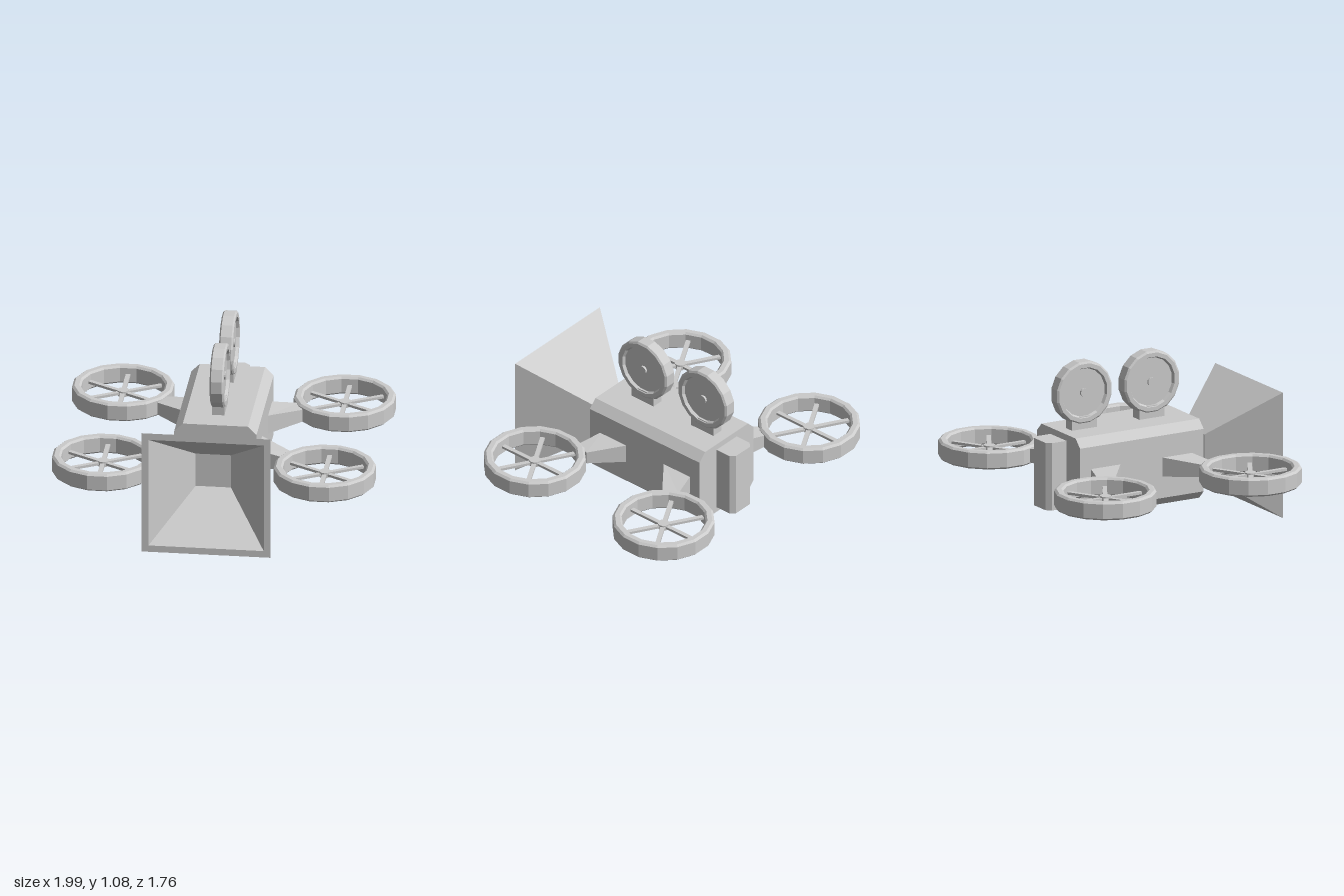
import * as THREE from 'three';

const material = new THREE.MeshStandardMaterial({ color: 0xcccccc, flatShading: true });
const MID_Y = 0.405;

function add(parent, name, geometry, x = 0, y = 0, z = 0) {
  const mesh = new THREE.Mesh(geometry, material);
  mesh.name = name;
  mesh.position.set(x, y, z);
  parent.add(mesh);
  return mesh;
}

// Faceted solid of revolution from [radius, height] pairs
function lathe(points, sides, phase = Math.PI / sides) {
  return new THREE.LatheGeometry(points.map(([r, h]) => new THREE.Vector2(r, h)), sides, phase);
}

// Straight prism from an outline in x and y, centred on depth
function prism(points, depth) {
  const shape = new THREE.Shape(points.map(([x, y]) => new THREE.Vector2(x, y)));
  return new THREE.ExtrudeGeometry(shape, { depth, bevelEnabled: false }).translate(0, 0, -depth / 2);
}

// Ducted propeller: bevelled ring, hub and six spokes
function createRotor() {
  const rotor = new THREE.Group();
  add(rotor, 'rotorRing', lathe([
    [0.272, -0.058], [0.302, -0.058], [0.316, -0.046], [0.316, 0.046],
    [0.302, 0.058], [0.272, 0.058], [0.26, 0.046], [0.26, -0.046], [0.272, -0.058],
  ], 16));
  add(rotor, 'rotorHub', new THREE.CylinderGeometry(0.036, 0.036, 0.035, 12));
  for (let i = 0; i < 6; i++) {
    const spoke = add(rotor, 'rotorSpoke', new THREE.BoxGeometry(0.028, 0.016, 0.265).translate(0, 0, 0.1325));
    spoke.rotation.y = (i * Math.PI) / 3;
  }
  return rotor;
}

// Arm narrowing from the body side towards its rotor ring
function armGeometry(sx, sz, zShift) {
  const geometry = new THREE.BoxGeometry(1, 1, 1);
  const p = geometry.attributes.position;
  for (let i = 0; i < p.count; i++) {
    const outer = p.getX(i) * sx > 0;
    const far = p.getZ(i) * sz > 0;
    const x = outer ? (far ? 0.415 : 0.45) : 0.24;
    const z = outer ? (far ? 0.408 : 0.308) : (far ? 0.36 : 0.14);
    p.setXYZ(i, sx * x, MID_Y + p.getY(i) * (outer ? 0.08 : 0.125), sz * z + zShift);
  }
  geometry.computeVertexNormals();
  return geometry;
}

// Film reel with a recess and a small hub on both sides
function createReel() {
  const reel = new THREE.Group();
  const geometry = lathe([
    [0, -0.024], [0.153, -0.024], [0.162, -0.043], [0.188, -0.043], [0.2, -0.034],
    [0.2, 0.034], [0.188, 0.043], [0.162, 0.043], [0.153, 0.024], [0, 0.024],
  ], 16).rotateZ(Math.PI / 2);
  add(reel, 'reelDisc', geometry);
  add(reel, 'reelHub', new THREE.CylinderGeometry(0.026, 0.026, 0.074, 12).rotateZ(Math.PI / 2));
  return reel;
}

export function createModel() {
  const model = new THREE.Group();
  model.name = 'cameraDrone';

  // Body with chamfered long edges
  const w = 0.255, h = 0.2525, c = 0.053;
  add(model, 'body', prism([
    [-w + c, -h], [w - c, -h], [w, -h + c], [w, h - c],
    [w - c, h], [-w + c, h], [-w, h - c], [-w, -h + c],
  ], 0.89), 0, 0.4075, -0.045);

  // Upright battery pack with chamfered rear corners
  const battery = prism([
    [-0.095, 0], [0.095, 0], [0.095, 0.115], [0.066, 0.145], [-0.066, 0.145], [-0.095, 0.115],
  ], 0.43).rotateX(-Math.PI / 2);
  add(model, 'battery', battery, 0, MID_Y, -0.48);

  // Lens barrel and square flared hood
  add(model, 'lensBarrel', new THREE.CylinderGeometry(0.082, 0.082, 0.11, 16).rotateX(Math.PI / 2), 0, MID_Y, 0.44);
  const d = Math.SQRT2;
  const hood = lathe([
    [0, 0.485], [0.125 * d, 0.485], [0.4 * d, 0.882], [0.357 * d, 0.882], [0.109 * d, 0.51], [0, 0.51],
  ], 4).rotateX(Math.PI / 2);
  add(model, 'lensHood', hood, 0, 0.403, 0);

  // Reels on their mounts
  for (const z of [0.16, -0.325]) {
    add(model, 'reelMount', new THREE.BoxGeometry(0.075, 0.09, 0.18), 0, 0.695, z);
    const reel = createReel();
    reel.name = 'reel';
    reel.position.set(0, 0.89, z);
    model.add(reel);
  }

  // Four arms with rotors
  for (const sx of [-1, 1]) {
    for (const sz of [-1, 1]) {
      add(model, 'arm', armGeometry(sx, sz, -0.0475));
      const rotor = createRotor();
      rotor.name = 'rotor';
      rotor.position.set(sx * 0.687, MID_Y, sz * 0.5225 - 0.0475);
      model.add(rotor);
    }
  }
  return model;
}
